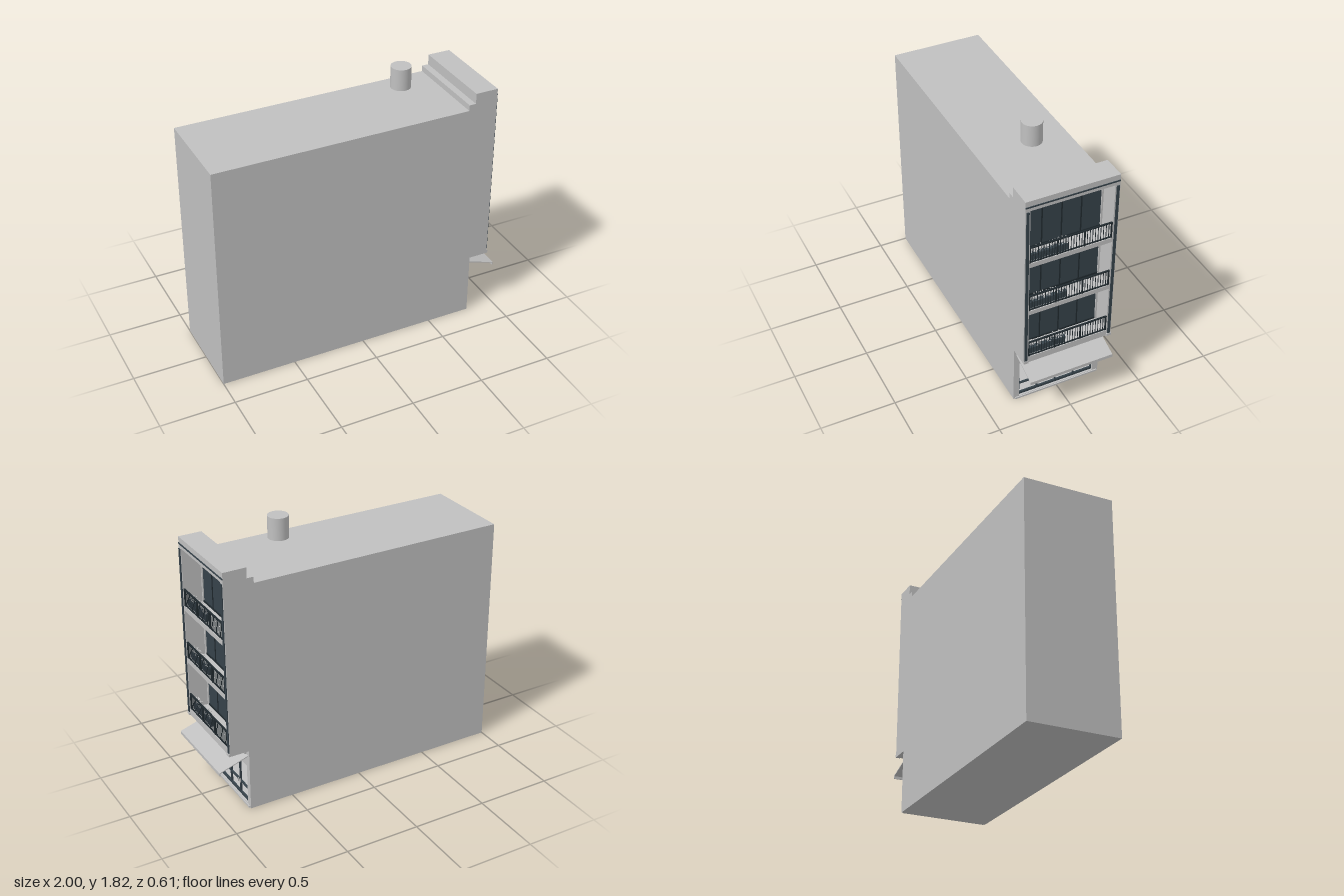
import * as THREE from 'three';

const mat = (name, color) => {
  const m = new THREE.MeshStandardMaterial({ color });
  m.name = name;
  return m;
};

export function createModel() {
  const model = new THREE.Group();
  model.name = 'townhouse';
  const wall = mat('wall grey', 0xc0c0c0);
  const slate = mat('slate glass', 0x36424a);
  const iron = mat('dark iron', 0x20292e);

  // Box given by its two extents on each axis
  const box = (name, m, x0, x1, y0, y1, z0, z1, parent = model) => {
    const mesh = new THREE.Mesh(new THREE.BoxGeometry(x1 - x0, y1 - y0, z1 - z0), m);
    mesh.position.set((x0 + x1) / 2, (y0 + y1) / 2, (z0 + z1) / 2);
    mesh.name = name;
    parent.add(mesh);
    return mesh;
  };

  // Side walls: the stepped profile of the whole house
  const profile = new THREE.Shape([
    [-1, 0], [0.8, 0], [0.8, 0.43], [0.93, 0.43], [0.93, 1.68], [0.775, 1.68],
    [0.775, 1.61], [0.73, 1.61], [0.73, 1.57], [-1, 1.57],
  ].map(([x, y]) => new THREE.Vector2(x, y)));
  const W = 0.305, I = 0.273;
  for (const z of [-W, I]) {
    const side = new THREE.Mesh(
      new THREE.ExtrudeGeometry(profile, { depth: W - I, bevelEnabled: false }), wall);
    side.position.z = z;
    side.name = 'sideWall';
    model.add(side);
  }

  // Solid core between the side walls, with a shop room at the front
  box('rearBlock', wall, -1, 0.4, 0, 1.57, -I, I);
  box('upperBlock', wall, 0.4, 0.79, 0.43, 1.57, -I, I);
  box('shopCeiling', wall, 0.4, 0.8, 0.3, 0.43, -I, I);
  box('shopFloor', wall, 0.4, 0.8, 0, 0.015, -I, I);
  box('roofStep', wall, 0.73, 0.79, 1.57, 1.61, -I, I);
  box('parapet', wall, 0.775, 0.93, 1.61, 1.68, -I, I);
  box('parapetLine', slate, 0.93, 0.934, 1.634, 1.643, -W, W);

  // Slender dark strips on the facade edges
  for (const s of [-1, 1]) {
    box('facadeStrip', slate, 0.93, 0.936, 0.45, 1.605, s * 0.29 - 0.009, s * 0.29 + 0.009);
    box('stripFoot', wall, 0.93, 0.938, 0.43, 0.45, s * 0.289 - 0.016, s * 0.289 + 0.016);
  }

  // Small seeded generator for the plants
  let seed = 7;
  const rnd = () => (seed = (seed * 16807) % 2147483647) / 2147483647;

  // Three balconies: floor height, slab underside, window top, ceiling
  const floors = [
    [0.475, 0.43, 0.79, 0.82],
    [0.85, 0.82, 1.16, 1.19],
    [1.222, 1.19, 1.53, 1.61],
  ];
  const leaf = new THREE.TetrahedronGeometry(0.006);
  for (const [y, under, head, ceiling] of floors) {
    const b = new THREE.Group();
    b.name = 'balcony';
    model.add(b);
    box('slab', wall, 0.79, 0.93, under, y, -I, I, b);
    box('lintel', wall, 0.79, 0.805, head, ceiling, -I, I, b);
    box('window', slate, 0.79, 0.797, y, head, -0.262, 0.262, b);
    for (const s of [-1, 1])
      box('windowJamb', wall, 0.79, 0.805, y, head, s * 0.2675 - 0.0055, s * 0.2675 + 0.0055, b);
    for (const z of [-0.13, 0, 0.13])
      box('windowMullion', iron, 0.797, 0.801, y, head, z - 0.004, z + 0.004, b);
    box('windowSill', iron, 0.797, 0.802, y, y + 0.012, -0.262, 0.262, b);

    // Ceiling lamp
    const lamp = new THREE.Mesh(new THREE.CylinderGeometry(0.008, 0.008, 0.006, 12), iron);
    lamp.position.set(0.86, ceiling - 0.003, 0);
    lamp.name = 'ceilingLamp';
    b.add(lamp);

    // Railing
    const top = y + 0.117;
    box('handrail', iron, 0.918, 0.93, top - 0.006, top, -I, I, b);
    box('bottomRail', iron, 0.92, 0.928, y + 0.004, y + 0.01, -I, I, b);
    const n = 30;
    for (let i = 0; i <= n; i++) {
      const z = -0.268 + 0.536 * i / n, w = i % 10 ? 0.0016 : 0.004;
      box('baluster', iron, 0.924 - w, 0.924 + w, y, top - 0.006, z - w, z + w, b);
    }

    // Planter with loose pale leaves on the left half
    box('planter', slate, 0.88, 0.908, y, y + 0.045, 0.005, 0.262, b);
    const leaves = new THREE.InstancedMesh(leaf, wall, 150);
    leaves.name = 'leaves';
    b.remove(leaves);
    for (let i = 0; i < 150; i++) {
      const l = new THREE.Mesh(leaf, wall);
      l.position.set(0.882 + rnd() * 0.026, y + 0.05 + rnd() * 0.045, 0.008 + rnd() * 0.25);
      l.rotation.set(rnd() * 6, rnd() * 6, rnd() * 6);
      l.name = 'leaf';
      b.add(l);
    }
  }

  // Shopfront frame of four tall panes
  const shop = new THREE.Group();
  shop.name = 'shopfront';
  model.add(shop);
  for (const z of [-0.263, -0.132, 0, 0.132, 0.263])
    box('shopMullion', slate, 0.775, 0.788, 0.015, 0.3, z - 0.004, z + 0.004, shop);
  for (const [y, h] of [[0.015, 0.016], [0.105, 0.009], [0.29, 0.01]])
    box('shopRail', slate, 0.775, 0.788, y, y + h, -0.265, 0.265, shop);
  for (const s of [-1, 1]) {
    box('shopJamb', wall, 0.77, 0.8, 0.015, 0.3, s * 0.27 - 0.004, s * 0.27 + 0.004, shop);
    for (const d of [-0.012, 0.012])
      box('doorHandle', wall, 0.788, 0.796, 0.1, 0.128, s * 0.132 + d - 0.002, s * 0.132 + d + 0.002, shop);
  }
  box('doorstep', wall, 0.8, 0.808, 0, 0.012, -0.295, 0.295, shop);
  box('blindCasing', wall, 0.8, 0.812, 0.39, 0.425, -0.265, 0.265, shop);

  // Sloping awning with a short valance
  const awningShape = new THREE.Shape([
    [0.8, 0.38], [0.994, 0.318], [0.994, 0.3], [1, 0.3], [1, 0.322], [0.8, 0.387],
  ].map(([x, y]) => new THREE.Vector2(x, y)));
  const awning = new THREE.Mesh(
    new THREE.ExtrudeGeometry(awningShape, { depth: 0.576, bevelEnabled: false }), wall);
  awning.position.z = -0.288;
  awning.name = 'awning';
  model.add(awning);

  // Water tank above the roof
  const tank = new THREE.Mesh(new THREE.CylinderGeometry(0.066, 0.066, 0.145, 40), wall);
  tank.position.set(0.403, 1.748, 0);
  tank.name = 'waterTank';
  model.add(tank);

  return model;
}
